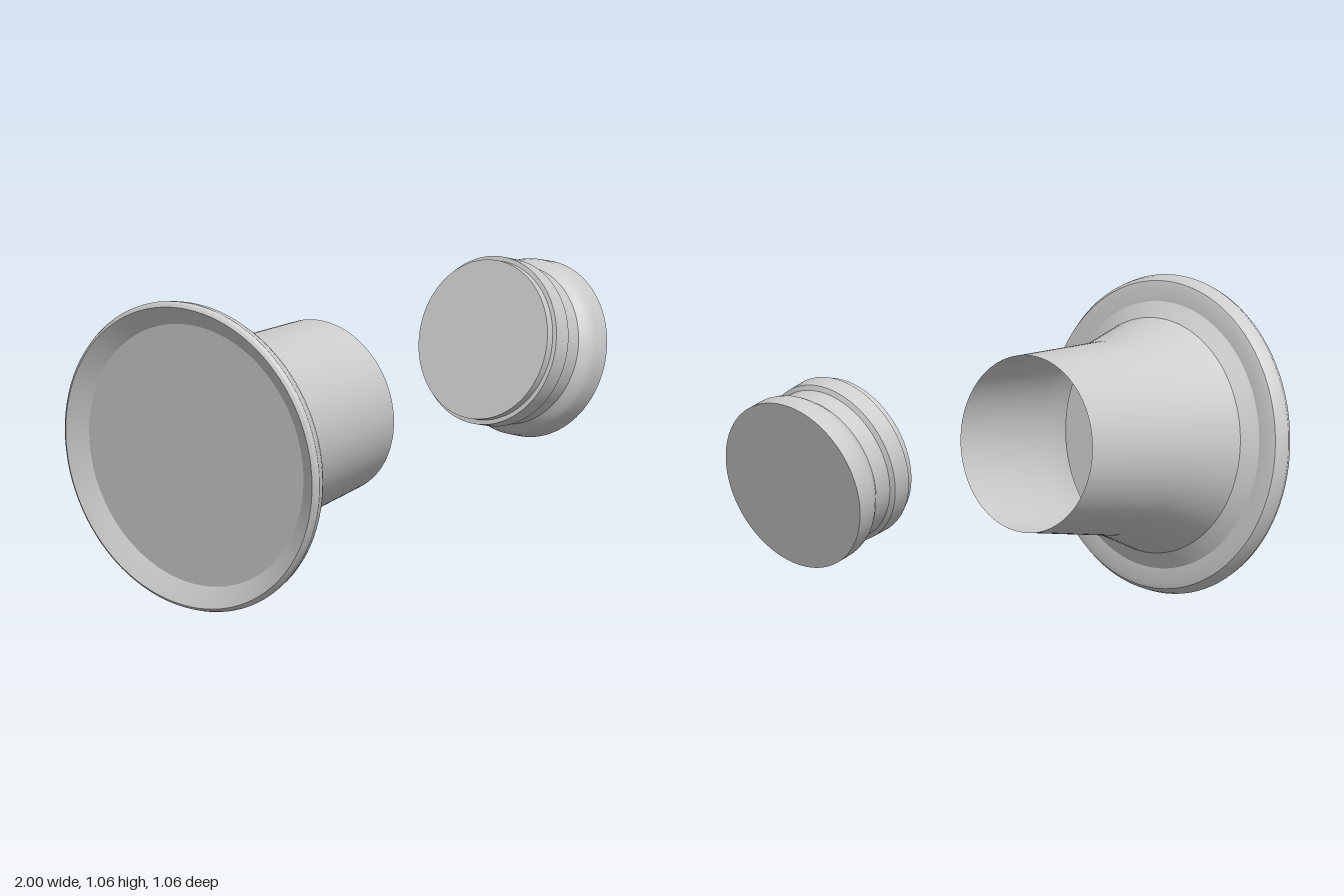
import * as THREE from 'three';
import { toCreasedNormals } from 'three/addons/utils/BufferGeometryUtils.js';

const grey = new THREE.MeshStandardMaterial({ color: 0xcccccc, side: THREE.DoubleSide });
grey.name = 'light grey';

// Turn a profile of [radius, distance along axis] pairs; the axis leans from +x by tilt degrees
function turned(name, profile, x, y, tilt) {
  const points = profile.map(([r, d]) => new THREE.Vector2(r, d));
  const geometry = toCreasedNormals(new THREE.LatheGeometry(points, 96), THREE.MathUtils.degToRad(24));
  const mesh = new THREE.Mesh(geometry, grey);
  mesh.name = name;
  mesh.position.set(x, y, 0);
  mesh.rotation.z = THREE.MathUtils.degToRad(tilt - 90);
  return mesh;
}

export function createModel() {
  const group = new THREE.Group();
  group.name = 'flaredTubeAndPlug';

  // Hollow tube, open at the narrow end, with a dished back and rolled rim
  group.add(turned('flaredTube', [
    [0, 0.04], [0.45, 0.04],
    [0.49, 0.015], [0.517, 0], [0.527, 0.008], [0.532, 0.021], [0.526, 0.046], [0.513, 0.066],
    [0.493, 0.071], [0.445, 0.071],
    [0.392, 0.106], [0.325, 0.313], [0.296, 0.732],
  ], -0.95, 0.532, 5.9));

  // Solid plug with a raised band, a groove and a wider head
  group.add(turned('plug', [
    [0, 0], [0.267, 0], [0.267, 0.029],
    [0.282, 0.03], [0.281, 0.098],
    [0.266, 0.108], [0.265, 0.176],
    [0.28, 0.195], [0.291, 0.213], [0.295, 0.23], [0.296, 0.293], [0, 0.293],
  ], 0.642, 0.711, -13.9));

  return group;
}
